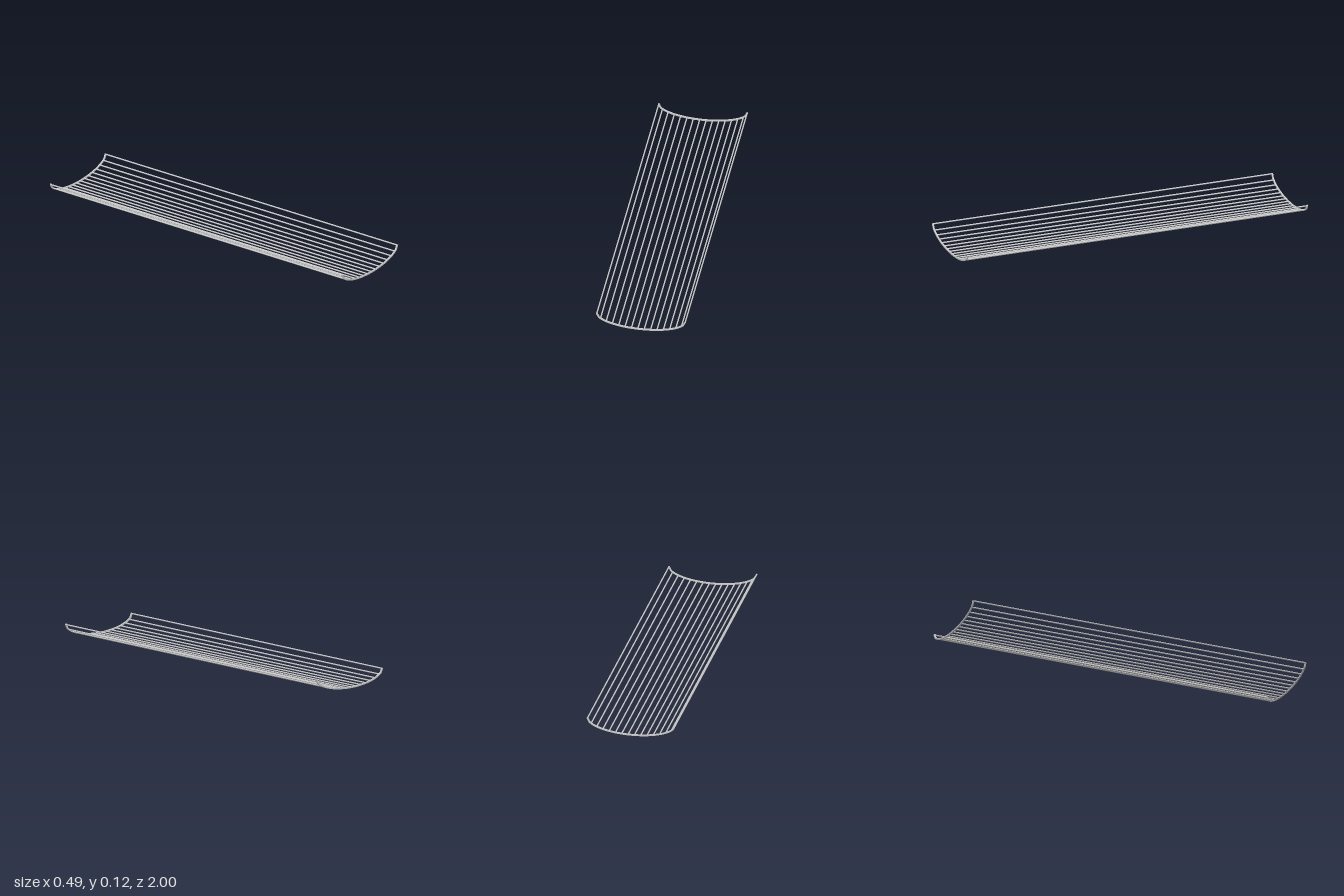
import * as THREE from 'three';

const HALF = 0.2435, T = 0.004, DEPTH = 0.008, DROP = 0.0325, BASE = 0.037;

// Elliptical trough profile: height above the lowest point at x
const sag = (x) => 0.08 * (1 - Math.sqrt(Math.max(0, 1 - (x / 0.245) ** 2)));

// Flat curved band, offset T to either side of the profile
function ribGeometry() {
  const n = 40, pts = [];
  for (let i = 0; i <= n; i++) {
    const x = HALF * (2 * i / n - 1);
    const end = i === 0 || i === n;
    pts.push(new THREE.Vector2(x, end ? 0.0785 : sag(x)));
  }
  const upper = [], lower = [];
  pts.forEach((p, i) => {
    const a = pts[Math.max(0, i - 1)], b = pts[Math.min(n, i + 1)];
    const t = b.clone().sub(a).normalize();
    upper.push(new THREE.Vector2(p.x - t.y * T, p.y + t.x * T));
    lower.push(new THREE.Vector2(p.x + t.y * T, p.y - t.x * T));
  });
  const shape = new THREE.Shape([...lower, ...upper.reverse()]);
  const g = new THREE.ExtrudeGeometry(shape, { depth: DEPTH, bevelEnabled: false });
  return g.translate(0, 0, -DEPTH / 2);
}

export function createModel() {
  const group = new THREE.Group();
  const mat = new THREE.MeshStandardMaterial({ color: 0xcccccc });
  const zEnd = 1 - DEPTH / 2;

  // End ribs, the back one set lower
  const rib = ribGeometry();
  for (const [name, y, z] of [['frontRib', BASE, zEnd], ['backRib', BASE - DROP, -zEnd]]) {
    const m = new THREE.Mesh(rib, mat);
    m.name = name;
    m.position.set(0, y, z);
    group.add(m);
  }

  // Long sloping rods joining the ribs
  const length = Math.hypot(2 * zEnd, DROP);
  const rod = new THREE.CylinderGeometry(T, T, length, 12).rotateX(Math.PI / 2);
  const rods = new THREE.Group();
  rods.name = 'rods';
  for (const x of [0.0175, 0.0525, 0.0875, 0.1225, 0.157, 0.191, 0.222, 0.2425]) {
    for (const side of [-1, 1]) {
      const m = new THREE.Mesh(rod, mat);
      m.name = 'rod';
      m.position.set(side * x, BASE - DROP / 2 + (x > 0.24 ? 0.075 : sag(x)), 0);
      m.rotation.x = -Math.atan2(DROP, 2 * zEnd);
      rods.add(m);
    }
  }
  group.add(rods);
  return group;
}
